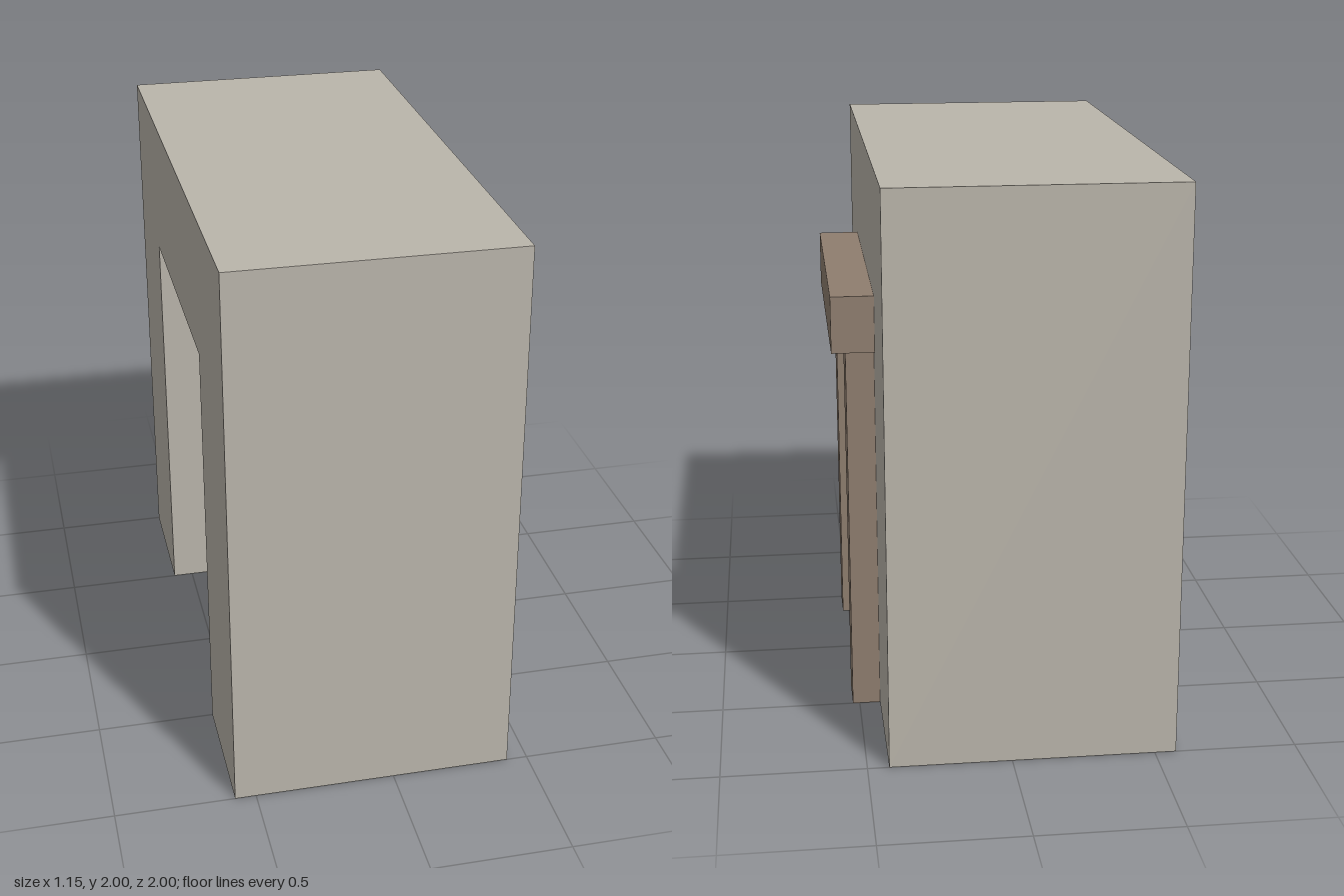
import * as THREE from 'three';

export function createModel() {
  const model = new THREE.Group();
  model.name = 'doorway';

  const stone = new THREE.MeshStandardMaterial({ color: 0xbab5ab });
  stone.name = 'pale stone';
  const wood = new THREE.MeshStandardMaterial({ color: 0x8f7e6f });
  wood.name = 'weathered brown';

  // Thick wall with an opening that reaches the ground, drawn in z/y
  const outline = new THREE.Shape([
    [-1, 0], [-0.5, 0], [-0.5, 1.5], [0.5, 1.5],
    [0.5, 0], [1, 0], [1, 2], [-1, 2],
  ].map(([x, y]) => new THREE.Vector2(x, y)));
  const wallGeometry = new THREE.ExtrudeGeometry(outline, { depth: 1, bevelEnabled: false });
  wallGeometry.rotateY(Math.PI / 2).translate(-0.575, 0, 0);
  const wall = new THREE.Mesh(wallGeometry, stone);
  wall.name = 'wall';
  model.add(wall);

  // Door frame set into the opening on the +x side
  const frame = new THREE.Group();
  frame.name = 'doorFrame';
  model.add(frame);

  const addBeam = (name, size, position) => {
    const beam = new THREE.Mesh(new THREE.BoxGeometry(...size), wood);
    beam.name = name;
    beam.position.set(...position);
    frame.add(beam);
  };

  for (const side of [-1, 1]) {
    addBeam(side > 0 ? 'frontPost' : 'backPost', [0.3, 1.35, 0.15], [0.375, 0.675, side * 0.425]);
  }
  addBeam('lintel', [0.35, 0.2, 1.1], [0.4, 1.45, 0]);

  return model;
}
